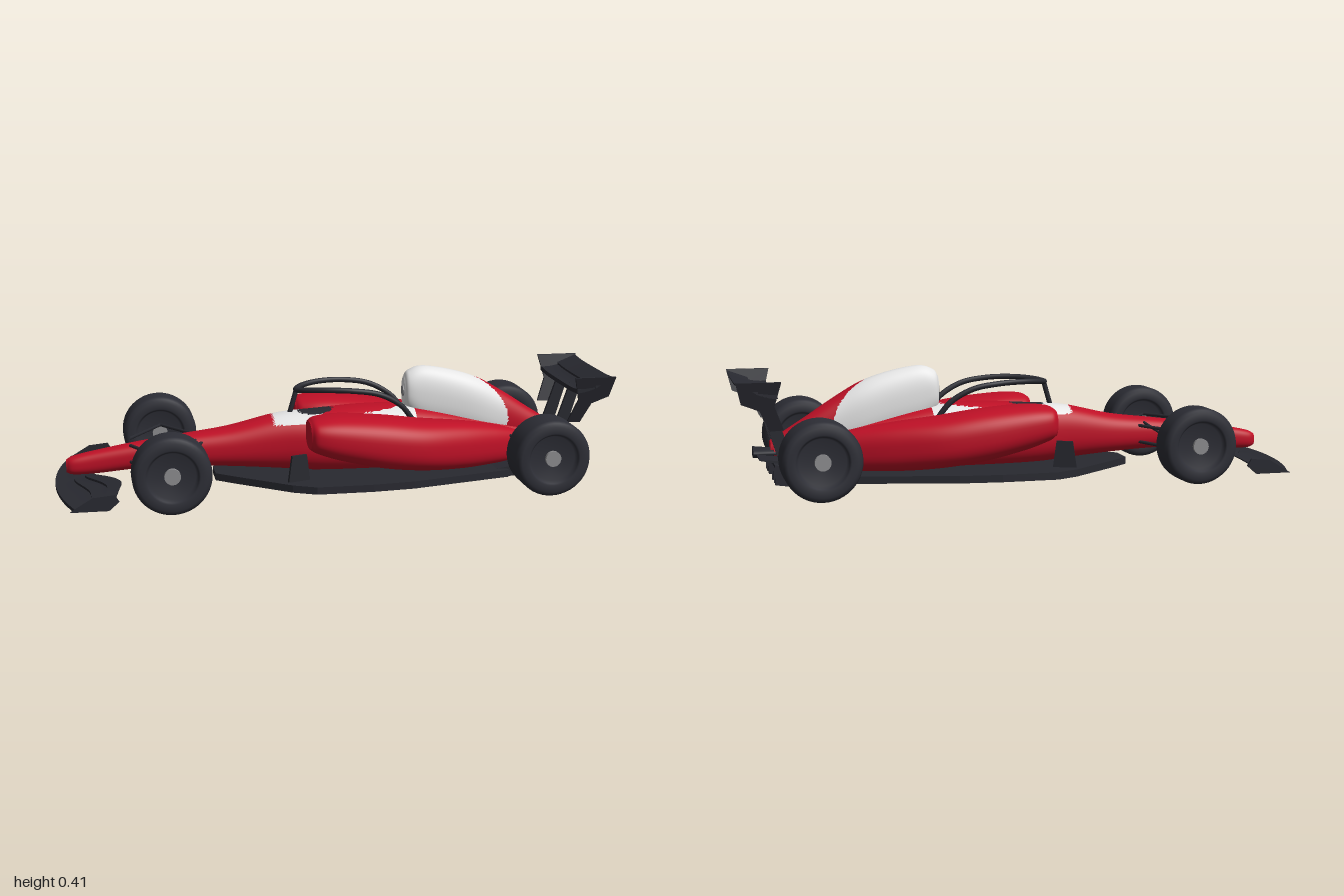
import * as THREE from 'three';

const mat = (name, color) => Object.assign(new THREE.MeshStandardMaterial({ color }), { name });

export function createModel() {
  const car = new THREE.Group();
  car.name = 'racingCar';
  const red = mat('red paint', 0xbe1026);
  const white = mat('white paint', 0xe4e4e4);
  const carbon = mat('carbon', 0x282930);
  const tyre = mat('tyre rubber', 0x2d2e36);
  const metal = mat('hub metal', 0x8c8c8e);

  function add(name, geometry, material, parent = car) {
    const mesh = new THREE.Mesh(geometry, material);
    mesh.name = name;
    parent.add(mesh);
    return mesh;
  }

  // Rounded loft along x; sections are [x, yBottom, yTop, zMin, zMax]; rule picks a material per face
  function loft(sections, power, rule = () => 0) {
    const curve = k => new THREE.CatmullRomCurve3(
      sections.map(s => new THREE.Vector3(s[0], s[k], s[k + 1])), false, 'catmullrom', 0.5);
    const heights = curve(1), widths = curve(3);
    const sides = 64, steps = (sections.length - 1) * 14, pos = [], buckets = [[], [], []];
    const bend = v => Math.sign(v) * Math.pow(Math.abs(v), 2 / power);
    const ring = (t, scale) => {
      const h = heights.getPoint(t), w = widths.getPoint(t);
      for (let j = 0; j < sides; j++) {
        const a = j / sides * Math.PI * 2;
        pos.push(h.x, (h.y + h.z) / 2 + scale * (h.z - h.y) / 2 * bend(Math.cos(a)),
          (w.y + w.z) / 2 + scale * (w.z - w.y) / 2 * bend(Math.sin(a)));
      }
    };
    ring(0, 0); ring(0, 1);
    for (let i = 0; i <= steps; i++) ring(i / steps, 1);
    ring(1, 1); ring(1, 0);
    const tri = (...v) => {
      const c = [0, 1, 2].map(k => (pos[v[0] * 3 + k] + pos[v[1] * 3 + k] + pos[v[2] * 3 + k]) / 3);
      buckets[rule(...c)].push(...v);
    };
    for (let i = 0; i < steps + 4; i++) {
      if (i === 1 || i === steps + 2) continue;
      for (let j = 0; j < sides; j++) {
        const a = i * sides + j, b = i * sides + (j + 1) % sides;
        tri(a, b, a + sides);
        tri(b, b + sides, a + sides);
      }
    }
    const g = new THREE.BufferGeometry();
    g.setAttribute('position', new THREE.Float32BufferAttribute(pos, 3));
    g.setIndex(buckets.flat());
    let start = 0;
    buckets.forEach((b, k) => { if (b.length) g.addGroup(start, b.length, k); start += b.length; });
    g.computeVertexNormals();
    return g;
  }

  // Flat plate from an (x, y) outline, centred on z = 0
  function plate(points, depth) {
    const shape = new THREE.Shape(points.map(p => new THREE.Vector2(...p)));
    return new THREE.ExtrudeGeometry(shape, { depth, bevelEnabled: false }).translate(0, 0, -depth / 2);
  }

  // Aerofoil: box bent so that fn(chord 0..1, span -1..1) gives [x, y]
  function foil(halfSpan, thick, fn) {
    const g = new THREE.BoxGeometry(1, 1, 2, 8, 1, 32), p = g.attributes.position;
    for (let i = 0; i < p.count; i++) {
      const u = p.getX(i) + 0.5, s = p.getZ(i), [x, y] = fn(u, Math.abs(s));
      p.setXYZ(i, x, y + p.getY(i) * thick * (1.2 - u * 0.8), s * halfSpan);
    }
    g.computeVertexNormals();
    return g;
  }

  function rod(name, a, b, r, material = carbon) {
    const line = new THREE.LineCurve3(new THREE.Vector3(...a), new THREE.Vector3(...b));
    add(name, new THREE.TubeGeometry(line, 1, r, 10), material);
  }

  // Main tub and nose, with white cockpit surround
  const sym = (x, b, t, w) => [x, b, t, -w, w];
  const oval = (x, z, cx, rx, rz) => ((x - cx) / rx) ** 2 + (z / rz) ** 2 < 1;
  add('body', loft([
    sym(-0.957, 0.075, 0.12, 0.016), sym(-0.93, 0.067, 0.133, 0.03), sym(-0.85, 0.068, 0.15, 0.036),
    sym(-0.7, 0.08, 0.175, 0.047), sym(-0.55, 0.083, 0.195, 0.06), sym(-0.38, 0.075, 0.217, 0.075),
    sym(-0.2, 0.06, 0.257, 0.09), sym(-0.05, 0.045, 0.268, 0.108), sym(0.12, 0.04, 0.278, 0.115),
    sym(0.3, 0.04, 0.272, 0.115), sym(0.5, 0.045, 0.235, 0.1), sym(0.7, 0.06, 0.19, 0.075),
    sym(0.86, 0.09, 0.15, 0.04)], 2.5, (x, y, z) => {
    if (oval(x, z, -0.06, 0.065, 0.052)) return y > 0.2 ? 2 : 0;
    if (oval(x, z, 0.08, 0.18, 0.07)) return 0;
    return x > -0.22 && x < 0.3 && y > 0.23 ? 1 : 0;
  }), [red, white, carbon]);

  // Airbox and engine cover
  add('engineCover', loft([
    sym(0.268, 0.27, 0.375, 0.03), sym(0.285, 0.245, 0.4, 0.047), sym(0.34, 0.2, 0.415, 0.055),
    sym(0.45, 0.17, 0.396, 0.062), sym(0.55, 0.14, 0.362, 0.064), sym(0.65, 0.12, 0.305, 0.056),
    sym(0.75, 0.105, 0.24, 0.046), sym(0.87, 0.1, 0.165, 0.03)], 2.3,
  (x, y, z) => x > 0.53 + 2.2 * Math.abs(z) || y < 0.19 ? 0 : 1), [red, white]);
  add('airIntake', new THREE.CylinderGeometry(0.02, 0.02, 0.006, 24).rotateZ(Math.PI / 2)
    .translate(0.267, 0.325, 0), metal);
  add('exhaust', new THREE.CylinderGeometry(0.022, 0.026, 0.09, 24).rotateZ(-Math.PI / 2)
    .scale(1, 0.75, 1.7).translate(0.885, 0.122, 0), carbon);

  // Sidepods
  const pod = [[-0.112, 0.17, 0.268, 0.115, 0.25], [-0.085, 0.155, 0.28, 0.09, 0.272],
    [0, 0.125, 0.284, 0.06, 0.282], [0.15, 0.09, 0.272, 0.05, 0.282], [0.3, 0.07, 0.25, 0.04, 0.262],
    [0.45, 0.06, 0.23, 0.03, 0.21], [0.58, 0.06, 0.205, 0.02, 0.15], [0.7, 0.065, 0.17, 0.02, 0.085]];
  add('leftSidepod', loft(pod, 2.6), [red]);
  add('rightSidepod', loft(pod.map(([x, b, t, i, o]) => [x, b, t, -o, -i]), 2.6), [red]);

  // Floor and diffuser
  const edge = [[-0.43, 0.05], [-0.36, 0.11], [-0.18, 0.255], [-0.1, 0.295], [0.1, 0.295],
    [0.25, 0.28], [0.62, 0.19]];
  const outline = [...edge, ...edge.map(([x, z]) => [x, -z]).reverse()];
  add('floor', plate(outline, 0.026).rotateX(Math.PI / 2).translate(0, 0.045, 0), carbon);
  add('diffuser', plate([[0.58, 0.032], [0.72, 0.05], [0.87, 0.094], [0.87, 0.104], [0.58, 0.058]], 0.34), carbon);
  for (const z of [-0.167, -0.12, -0.06, 0.06, 0.12, 0.167])
    add('diffuserStrake', plate([[0.6, 0.03], [0.8, 0.025], [0.87, 0.035], [0.87, 0.098], [0.72, 0.055]], 0.006)
      .translate(0, 0, z), carbon);

  // Front wing
  const lead = s => -0.997 + 0.06 * s * s;
  const trail = s => s < 0.6 ? -0.86 + 0.09 * THREE.MathUtils.smoothstep(s, 0, 0.6) : -0.77 - 0.03 * (s - 0.6) / 0.4;
  const lift = (u, s) => 0.036 + u * u * (0.018 + 0.022 * Math.sin(Math.PI * Math.min(1, s)));
  for (const [name, a, b, dy] of [['frontWingMain', 0, 0.5, 0], ['frontWingFlap', 0.48, 0.78, 0.004],
    ['frontWingUpperFlap', 0.76, 1, 0.008]])
    add(name, foil(0.35, 0.01, (u, s) => {
      const c = a + (b - a) * u;
      return [lead(s) + (trail(s) - lead(s)) * c, lift(c, s) + dy];
    }), carbon);

  // Rear wing with a slightly sagging centre
  const sag = s => 0.008 * (1 - s ** 4);
  add('rearWingMain', foil(0.216, 0.013, (u, s) => [0.86 + 0.08 * u, 0.345 + 0.016 * u * u - sag(s)]), carbon);
  add('rearWingFlap', foil(0.218, 0.011, (u, s) => [0.925 + 0.073 * u, 0.36 + 0.03 * u - sag(s)]), carbon);
  add('beamWing', foil(0.15, 0.01, (u) => [0.82 + 0.1 * u, 0.105 + 0.015 * u]), carbon);

  // Cockpit halo
  const half = [[0.285, 0.235, 0.085], [0.24, 0.29, 0.092], [0.16, 0.335, 0.1], [0.06, 0.352, 0.1],
    [-0.04, 0.354, 0.078], [-0.11, 0.348, 0.035]];
  const halo = [...half, [-0.13, 0.343, 0], ...half.map(([x, y, z]) => [x, y, -z]).reverse()];
  add('halo', new THREE.TubeGeometry(new THREE.CatmullRomCurve3(
    halo.map(p => new THREE.Vector3(...p))), 90, 0.01, 10), carbon);
  rod('haloPillar', [-0.128, 0.343, 0], [-0.155, 0.25, 0], 0.009);

  // Wheel with dished sides
  function wheel(name, x, z, r, w) {
    const g = new THREE.Group(), h = w / 2;
    g.name = name;
    const side = [[0, h - 0.022], [0.08, h - 0.022], [0.088, h - 0.004], [0.094, h], [r - 0.018, h],
      [r - 0.006, h - 0.007], [r, h - 0.022]];
    const profile = [...side.map(([a, b]) => [a, -b]), ...side.reverse()].map(p => new THREE.Vector2(...p));
    add('tyre', new THREE.LatheGeometry(profile, 48).rotateX(Math.PI / 2), tyre, g);
    add('hub', new THREE.CylinderGeometry(0.028, 0.028, w - 0.02, 24).rotateX(Math.PI / 2), metal, g);
    g.position.set(x, r + 0.002, z);
    car.add(g);
  }

  for (const s of [1, -1]) {
    wheel('frontWheel', -0.605, s * 0.31, 0.136, 0.12);
    wheel('rearWheel', 0.73, s * 0.296, 0.136, 0.152);

    // Suspension: upper and lower wishbones
    for (const [name, x, z, ends] of [['frontArm', -0.605, 0.26, [-0.73, -0.475]], ['rearArm', 0.73, 0.23, [0.61, 0.85]]])
      for (const end of ends) {
        const inner = end > 0.8 ? 0.03 : 0.05;
        rod(name + 'Upper', [x, 0.17, s * z], [end, end > 0 ? 0.16 : 0.175, s * inner], 0.006);
        rod(name + 'Lower', [x, 0.105, s * z], [end, 0.115, s * inner], 0.006);
      }
    rod('pushRod', [-0.605, 0.1, s * 0.26], [-0.5, 0.185, s * 0.05], 0.005);
    rod('rearPushRod', [0.73, 0.11, s * 0.23], [0.68, 0.16, s * 0.06], 0.005);

    // Front wing end plates and floor fins
    add('frontEndPlate', plate([[-0.95, 0.03], [-0.82, 0.03], [-0.785, 0.06], [-0.8, 0.085], [-0.87, 0.078]], 0.008)
      .translate(0, 0, s * 0.352), carbon);
    add('floorFin', plate([[-0.195, 0.04], [-0.105, 0.04], [-0.12, 0.152], [-0.178, 0.152]], 0.01)
      .rotateY(s * 0.35).translate(-0.01, 0, s * 0.15), carbon);

    // Rear wing end plates lean inwards towards the bottom
    const end = plate([[0.848, 0.395], [0.87, 0.31], [0.838, 0.225], [0.885, 0.222], [0.92, 0.295],
      [0.982, 0.32], [1, 0.395]], 0.009);
    const p = end.attributes.position;
    for (let i = 0; i < p.count; i++) p.setZ(i, p.getZ(i) + s * (0.222 - (0.395 - p.getY(i)) * 0.27));
    end.computeVertexNormals();
    add('rearEndPlate', end, carbon);
    add('rearWingPylon', plate([[0.8, 0.11], [0.85, 0.11], [0.92, 0.345], [0.88, 0.345]], 0.012)
      .translate(0, 0, s * 0.07), carbon);
  }
  return car;
}
